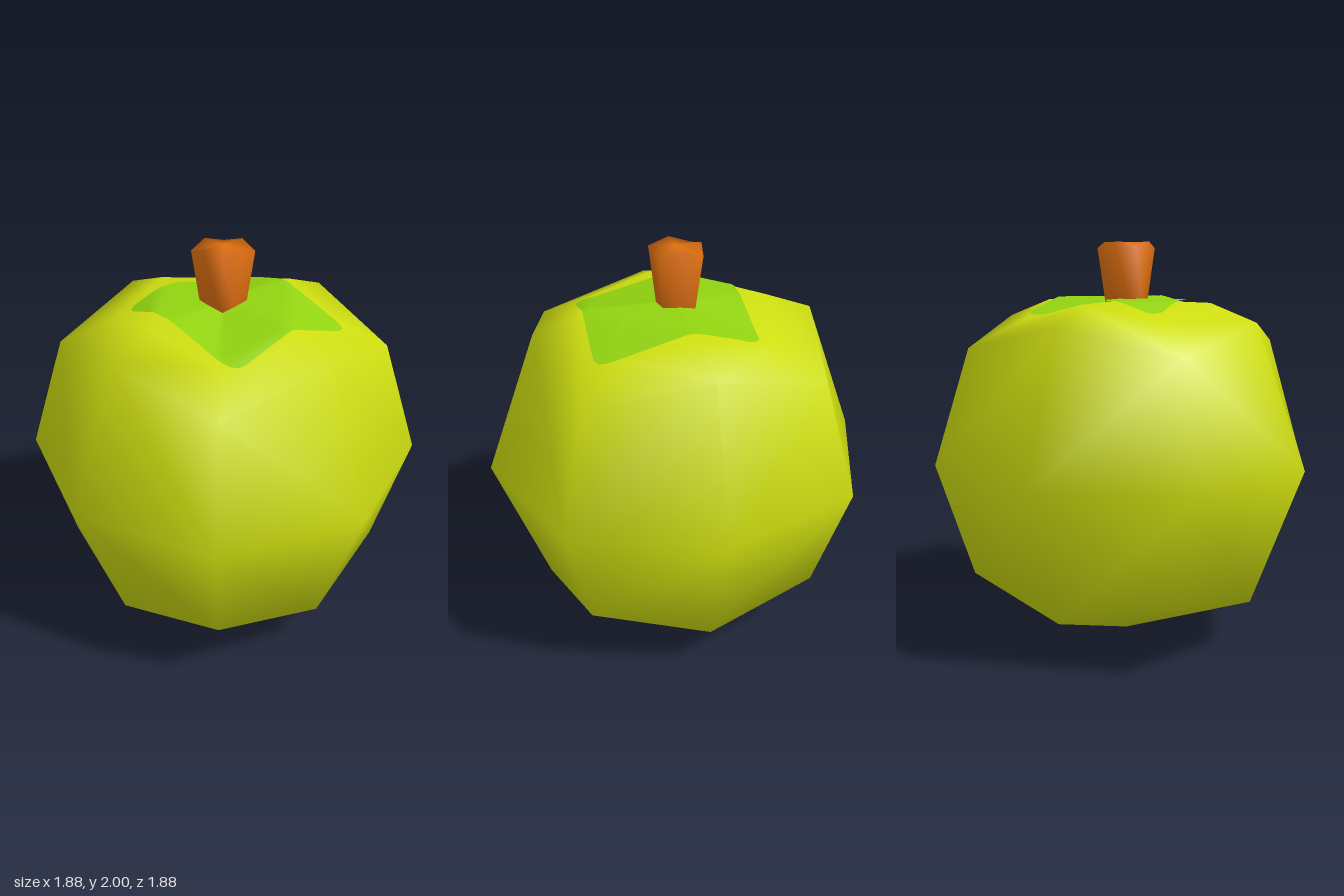
import * as THREE from 'three';

const R = 0.94;      // body radius, also the height of its middle
const EDGE = 0.685;  // reach of the edge points of the rounded cube
const CORNER = 0.56; // reach of its corner points
const CUT = 0.657;   // how far the top is cut away around the stem
const CAP = 1.72;    // height of the flattened top

// Indexed mesh builder: shared points give smooth normals, faces point away from the centre
function makeBuilder(center) {
  const points = [], index = [], lookup = new Map();
  const add = (p) => {
    const key = p.map((v) => Math.round(v * 1e4)).join();
    if (!lookup.has(key)) {
      lookup.set(key, points.length);
      points.push(new THREE.Vector3(...p));
    }
    return lookup.get(key);
  };
  const tri = (...corners) => {
    const [a, b, c] = corners.map(add);
    const t = new THREE.Triangle(points[a], points[b], points[c]);
    const out = t.getMidpoint(new THREE.Vector3()).sub(center);
    const facing = t.getNormal(new THREE.Vector3()).dot(out) > 0;
    index.push(...(facing ? [a, b, c] : [a, c, b]));
  };
  // The quad is split from its first to its third corner
  const quad = (a, b, c, d) => { tri(a, b, c); tri(a, c, d); };
  const build = () => {
    const g = new THREE.BufferGeometry().setFromPoints(points);
    g.setIndex(index);
    g.computeVertexNormals();
    return g;
  };
  return { tri, quad, build };
}

// Point of the rounded cube for signs -1, 0 or 1 on each axis
function cubePoint(s) {
  const n = s.filter((v) => v !== 0).length;
  const r = [0, R, EDGE, CORNER][n];
  return [s[0] * r, R + s[1] * r, s[2] * r];
}

// Body: each cube face is four quads; the top one is cut down to a low cap
function bodyGeometry() {
  const b = makeBuilder(new THREE.Vector3(0, R, 0));
  for (let axis = 0; axis < 3; axis++) for (const side of [-1, 1])
    for (const u of [-1, 1]) for (const v of [-1, 1]) {
      const at = (i, j) => {
        const s = [0, 0, 0];
        s[axis] = side; s[(axis + 1) % 3] = i; s[(axis + 2) % 3] = j;
        return cubePoint(s);
      };
      const mid = at(0, 0), e1 = at(u, 0), k = at(u, v), e2 = at(0, v);
      const split = (m, p, c, q) => (u * v < 0 ? b.quad(m, p, c, q) : b.quad(p, c, q, m));
      if (axis === 1 && side === 1) {
        const cut = (p) => p.map((x, i) => mid[i] + (x - mid[i]) * CUT);
        const p1 = cut(e1), pk = cut(k), p2 = cut(e2);
        b.quad(p1, e1, k, pk);
        b.quad(pk, k, e2, p2);
        split([0, CAP, 0], p1, pk, p2);
      } else split(mid, e1, k, e2);
    }
  return b.build();
}

// Height of the body's top surface
function topHeight(x, z) {
  const a = Math.max(Math.abs(x), Math.abs(z)), c = Math.min(Math.abs(x), Math.abs(z));
  const outer = 2 * R - 0.372 * a - 0.307 * c;
  const inner = x * z < 0 ? CAP - 0.25 * c : CAP - 0.32 * Math.max(0, a + c - 0.45);
  return Math.min(outer, inner);
}

// Leaf patch: rounded square laid on the top surface
function leafGeometry() {
  const corners = [[-0.345, 0.435], [0.375, 0.46], [0.41, -0.3], [-0.325, -0.335]]
    .map((p) => new THREE.Vector2(...p));
  const shape = new THREE.Shape();
  corners.forEach((p, i) => {
    const from = p.clone().lerp(corners[(i + 3) % 4], 0.1);
    const to = p.clone().lerp(corners[(i + 1) % 4], 0.1);
    if (i === 0) shape.moveTo(from.x, from.y); else shape.lineTo(from.x, from.y);
    shape.quadraticCurveTo(p.x, p.y, to.x, to.y);
  });
  shape.closePath();
  const rim = shape.getSpacedPoints(72).slice(0, 72);
  const b = makeBuilder(new THREE.Vector3(0, R, 0));
  const at = (i, ring) => {
    const p = rim[i % rim.length], t = ring / 14;
    return [p.x * t, topHeight(p.x * t, p.y * t) + 0.007, p.y * t];
  };
  for (let i = 0; i < rim.length; i++) {
    b.tri(at(0, 0), at(i, 1), at(i + 1, 1));
    for (let r = 1; r < 14; r++) b.quad(at(i, r), at(i, r + 1), at(i + 1, r + 1), at(i + 1, r));
  }
  return b.build();
}

// Stem: tapered eight-sided post whose top corners dip a little
function stemGeometry() {
  const b = makeBuilder(new THREE.Vector3(0, 1.82, 0));
  const at = (i, top) => {
    const diagonal = i % 2, angle = i * Math.PI / 4;
    const r = (diagonal ? 0.148 : 0.125) * (top ? 1 : 0.7);
    const y = top ? 2 - 0.03 * diagonal : 1.67;
    return [Math.cos(angle) * r, y, Math.sin(angle) * r];
  };
  for (let i = 0; i < 8; i++) {
    b.quad(at(i, false), at(i + 1, false), at(i + 1, true), at(i, true));
    b.tri([0, 2, 0], at(i, true), at(i + 1, true));
    b.tri([0, 1.67, 0], at(i, false), at(i + 1, false));
  }
  return b.build();
}

export function createModel() {
  const group = new THREE.Group();
  group.name = 'fruit';
  const part = (name, geometry, materialName, color) => {
    const material = new THREE.MeshStandardMaterial({ color });
    material.name = materialName;
    const mesh = new THREE.Mesh(geometry, material);
    mesh.name = name;
    group.add(mesh);
  };
  part('body', bodyGeometry(), 'yellowGreenSkin', 0xcfdf10);
  part('leafPatch', leafGeometry(), 'leafGreen', 0x92d310);
  part('stem', stemGeometry(), 'orangeBrownStem', 0xe07010);
  return group;
}
